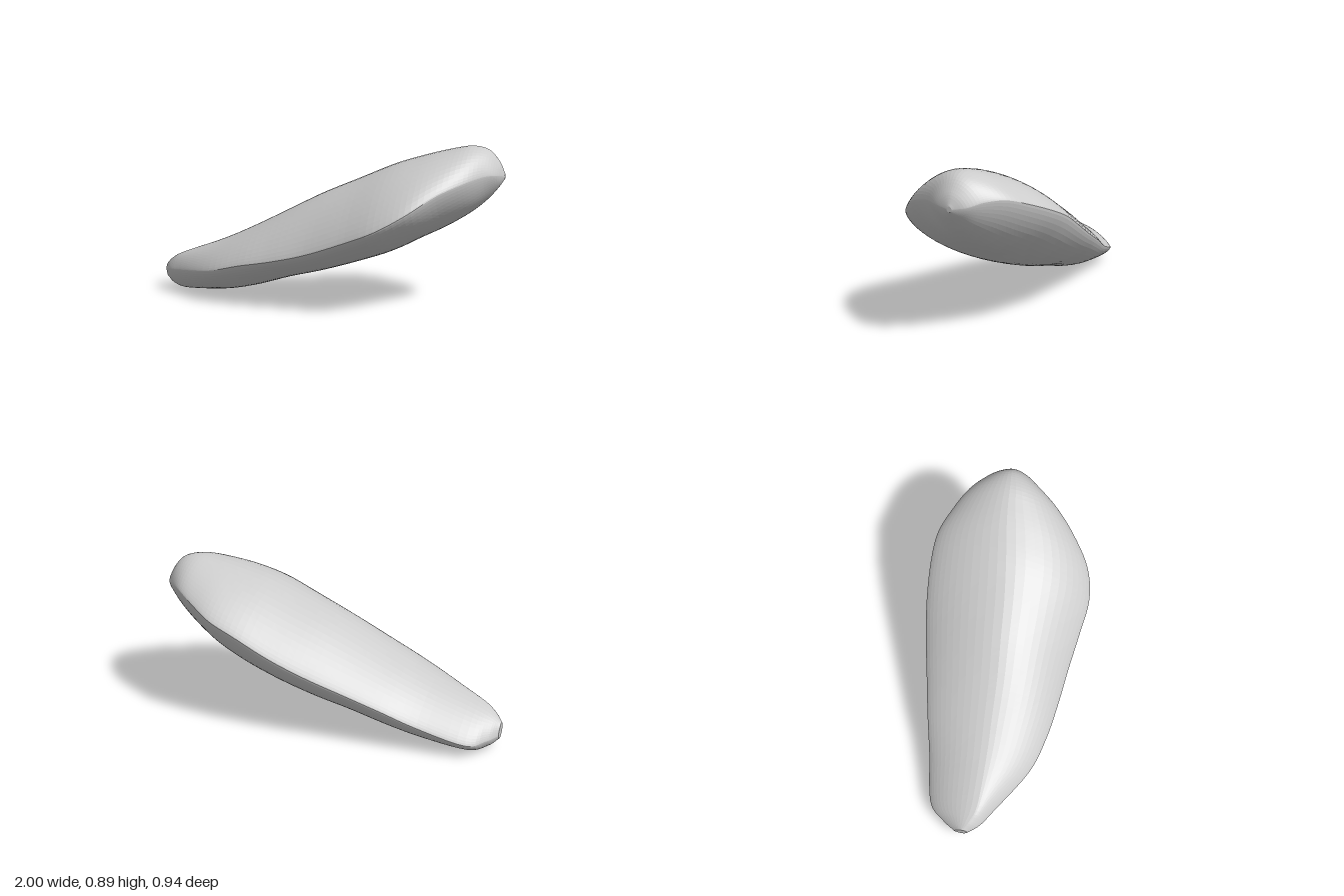
import * as THREE from 'three';

// Stations along the length:
// x, back rim z, y, front rim z, y, crest z, y, belly z, y
const STATIONS = [
  [-1.0, -0.05, 0.09, 0.03, 0.12, 0.0, 0.15, -0.01, 0.06],
  [-0.95, -0.13, 0.085, 0.09, 0.13, 0.03, 0.19, -0.02, 0.02],
  [-0.86, -0.22, 0.085, 0.15, 0.14, 0.06, 0.235, -0.03, 0.0],
  [-0.6, -0.28, 0.165, 0.31, 0.18, 0.06, 0.33, -0.02, 0.02],
  [-0.4, -0.33, 0.25, 0.37, 0.23, 0.05, 0.42, -0.02, 0.06],
  [-0.2, -0.375, 0.33, 0.40, 0.27, 0.04, 0.52, -0.03, 0.12],
  [0.0, -0.42, 0.41, 0.42, 0.32, 0.02, 0.62, -0.04, 0.17],
  [0.2, -0.455, 0.5, 0.445, 0.39, 0.0, 0.705, -0.05, 0.23],
  [0.4, -0.47, 0.6, 0.465, 0.47, -0.03, 0.79, -0.06, 0.30],
  [0.56, -0.46, 0.665, 0.42, 0.56, -0.06, 0.84, -0.07, 0.38],
  [0.7, -0.40, 0.72, 0.31, 0.655, -0.08, 0.875, -0.08, 0.45],
  [0.82, -0.33, 0.76, 0.19, 0.71, -0.09, 0.895, -0.09, 0.525],
  [0.91, -0.255, 0.76, 0.07, 0.74, -0.1, 0.875, -0.1, 0.60],
  [0.97, -0.19, 0.74, -0.01, 0.74, -0.1, 0.81, -0.1, 0.67],
  [1.0, -0.12, 0.73, -0.09, 0.73, -0.105, 0.745, -0.105, 0.715],
];

// Smooth guide curve through one z, y pair of columns
function guide(column) {
  const points = STATIONS.map((s) => new THREE.Vector3(s[0], s[column + 1], s[column]));
  return new THREE.CatmullRomCurve3(points, false, 'catmullrom', 0.5);
}

// Fullness of a quarter section: 0 at the rim, 1 at the crest or belly
const bulge = (c, p, q) => Math.pow(Math.max(0, 1 - Math.pow(c, p)), q);

export function createModel() {
  const [back, front, crest, belly] = [1, 3, 5, 7].map(guide);
  const rings = 70, sides = 56;
  const positions = [], index = [];

  // Four-quarter cross-sections: flat back slope, steeper front slope, round belly
  for (let i = 0; i <= rings; i++) {
    const [b, f, t, u] = [back, front, crest, belly].map((k) => k.getPoint(i / rings));
    for (let j = 0; j < sides; j++) {
      const a = (j / sides) * Math.PI * 2;
      const c = Math.abs(Math.cos(a));
      const rim = Math.cos(a) >= 0 ? f : b;
      const upper = Math.sin(a) >= 0;
      const target = upper ? t : u;
      let rise = bulge(c, 2, 0.68);
      if (upper) rise = rim === f ? bulge(c, 1.9, 0.78) : bulge(c, 1.7, 0.8);
      positions.push(
        f.x,
        THREE.MathUtils.lerp(rim.y, target.y, rise),
        THREE.MathUtils.lerp(target.z, rim.z, c),
      );
    }
  }
  for (let i = 0; i < rings; i++) {
    for (let j = 0; j < sides; j++) {
      const p = i * sides + j, q = i * sides + ((j + 1) % sides);
      index.push(p, p + sides, q, q, p + sides, q + sides);
    }
  }

  // Close both blunt ends
  for (const [ring, x, y, z] of [[0, -1, 0.105, -0.01], [rings, 1, 0.73, -0.105]]) {
    const centre = positions.length / 3;
    positions.push(x, y, z);
    for (let j = 0; j < sides; j++) {
      const p = ring * sides + j, q = ring * sides + ((j + 1) % sides);
      if (ring === 0) index.push(centre, p, q);
      else index.push(centre, q, p);
    }
  }

  const geometry = new THREE.BufferGeometry();
  geometry.setAttribute('position', new THREE.Float32BufferAttribute(positions, 3));
  geometry.setIndex(index);
  geometry.computeVertexNormals();

  const stone = new THREE.Mesh(
    geometry,
    new THREE.MeshStandardMaterial({ color: 0xcccccc, flatShading: true }),
  );
  stone.name = 'stoneBody';
  const group = new THREE.Group();
  group.name = 'tiltedStone';
  group.add(stone);
  return group;
}
